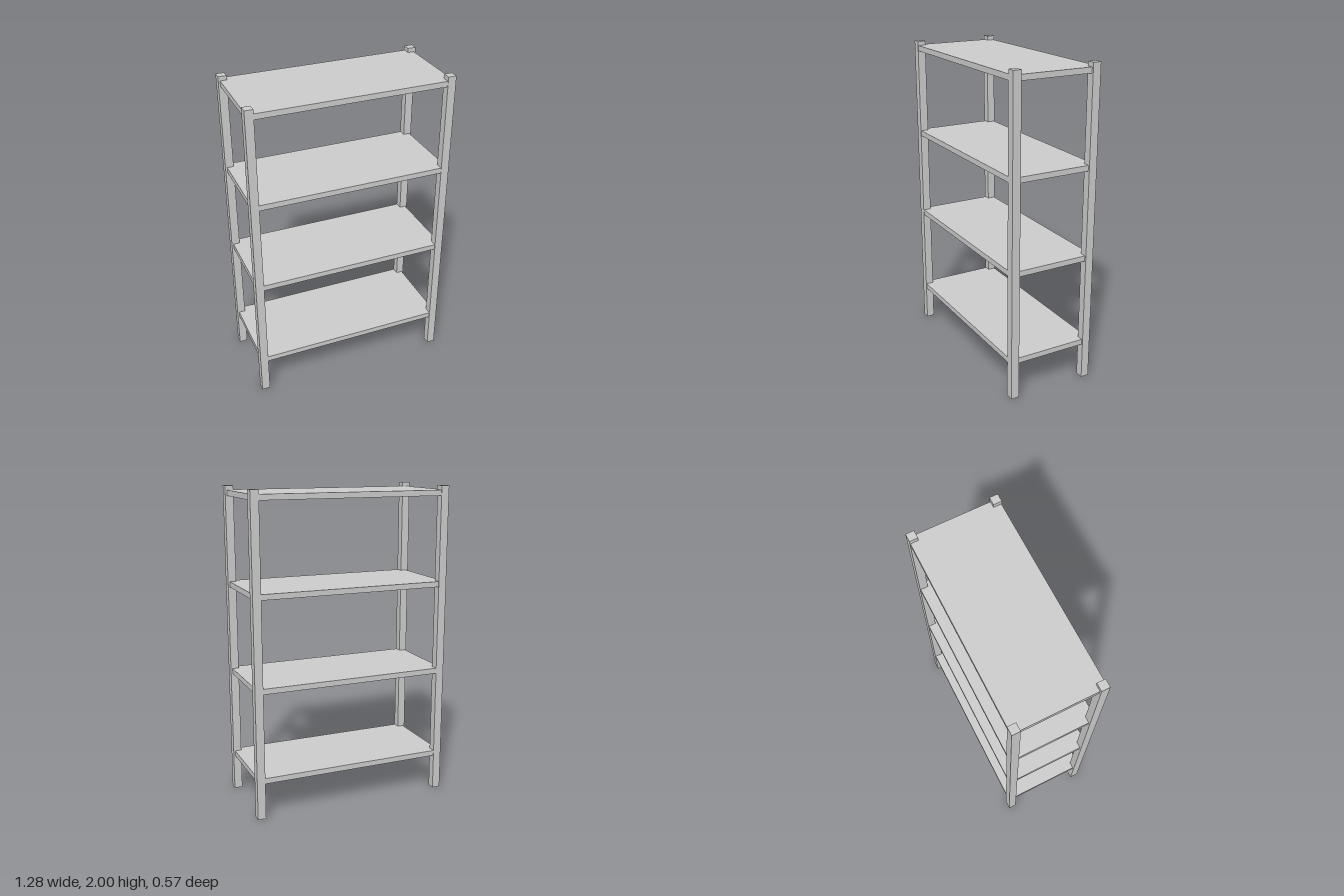
import * as THREE from 'three';

const material = new THREE.MeshStandardMaterial({ color: 0xcccccc, side: THREE.DoubleSide });

// Square post with a closed top and an open foot
function postGeometry(width, height) {
  const geometry = new THREE.BoxGeometry(width, height, width);
  const index = Array.from(geometry.index.array);
  index.splice(18, 6); // drop the bottom face
  geometry.setIndex(index);
  geometry.clearGroups();
  return geometry;
}

export function createModel() {
  const model = new THREE.Group();
  model.name = 'shelvingUnit';

  const add = (name, geometry, x, y, z) => {
    const mesh = new THREE.Mesh(geometry, material);
    mesh.name = name;
    mesh.position.set(x, y, z);
    model.add(mesh);
  };

  // Four corner posts
  const post = postGeometry(0.052, 2);
  for (const [side, x] of [['Left', 0.614], ['Right', -0.614]]) {
    for (const [end, z] of [['front', 0.257], ['back', -0.257]]) {
      add(`${end}${side}Post`, post, x, 1, z);
    }
  }

  // Four evenly spaced shelves, set slightly inside the posts' outer faces
  const shelf = new THREE.BoxGeometry(1.258, 0.035, 0.56);
  for (let i = 0; i < 4; i++) add(`shelf${i + 1}`, shelf, 0, 0.247 + i * 0.5695, 0);

  return model;
}
